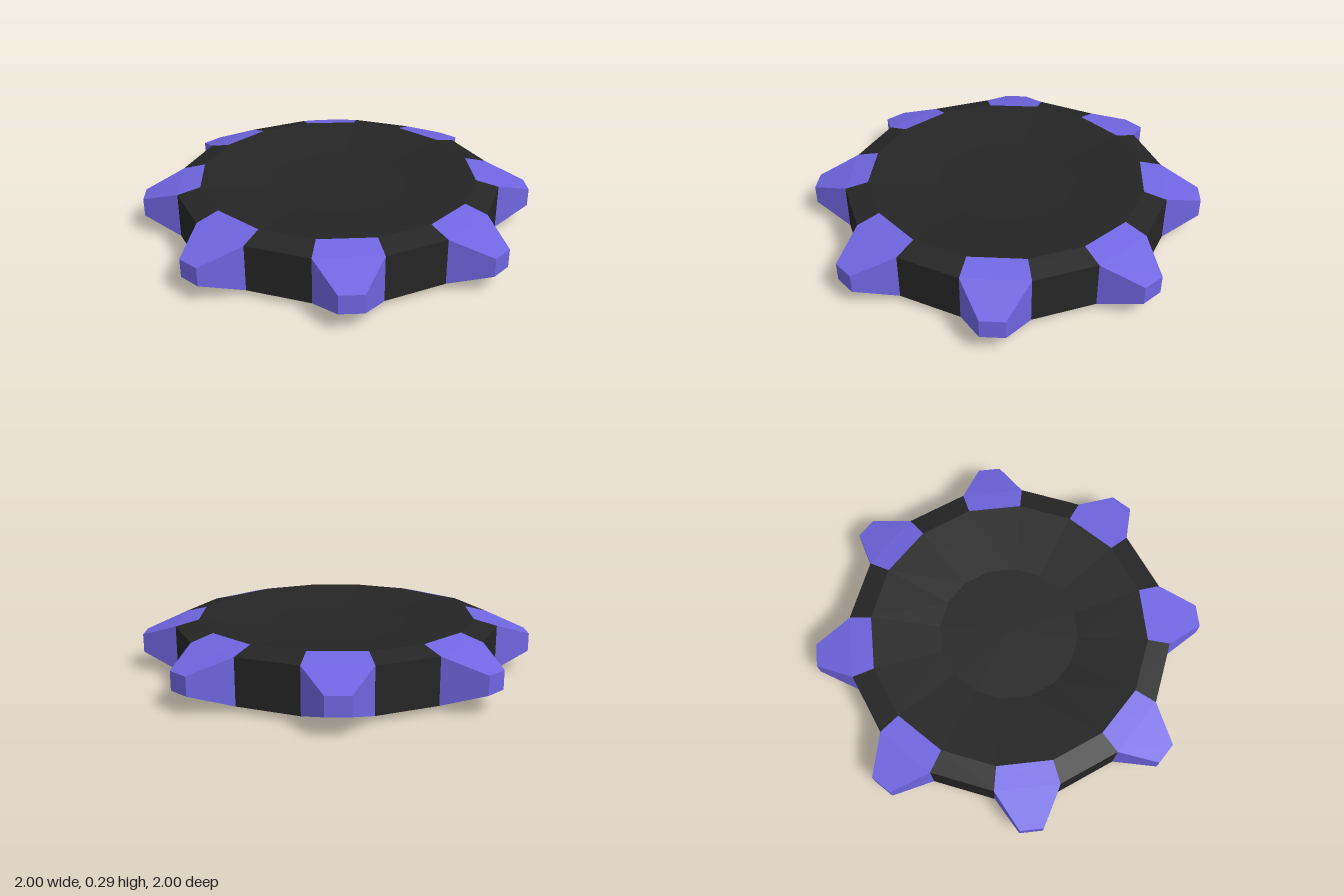
import * as THREE from 'three';

const DARK = new THREE.MeshStandardMaterial({ color: 0x252525, flatShading: true });
const PURPLE = new THREE.MeshStandardMaterial({ color: 0x7065e0, flatShading: true });

const STEP = Math.PI / 8; // the wheel has 16 sides: 8 teeth and 8 gaps
const H = 0.294;
const RING = 0.715, RIM = 0.832, TIP = 1.01;

// Profiles from top to bottom: [radius, height, angle inset]
const gapProfile = [[RING, H, 0], [RIM, H - 0.03, 0], [RIM, 0.03, 0], [RING, 0, 0]];
const toothProfile = [
  [RING, H, 0], [RIM, H - 0.03, 0], [TIP, 0.194, 0.138],
  [TIP, 0.1, 0.138], [RIM, 0.03, 0], [RING, 0, 0],
];

function point(angle, r, y) {
  return [r * Math.cos(angle), y, -r * Math.sin(angle)];
}

// Sweeps a profile across one side of the wheel
function segmentGeometry(profile, hasFlanks) {
  const a = profile.map(([r, y, inset]) => point(inset, r, y));
  const b = profile.map(([r, y, inset]) => point(STEP - inset, r, y));
  const positions = [];
  const quad = (p, q, r, s) => positions.push(...p, ...q, ...r, ...p, ...r, ...s);
  for (let i = 0; i < profile.length - 1; i++) quad(a[i], a[i + 1], b[i + 1], b[i]);
  if (hasFlanks) {
    quad(a[1], a[4], a[3], a[2]);
    quad(b[1], b[2], b[3], b[4]);
  }
  const geometry = new THREE.BufferGeometry();
  geometry.setAttribute('position', new THREE.Float32BufferAttribute(positions, 3));
  geometry.computeVertexNormals();
  return geometry;
}

function addMesh(parent, name, geometry, material) {
  const mesh = new THREE.Mesh(geometry, material);
  mesh.name = name;
  parent.add(mesh);
  return mesh;
}

export function createModel() {
  const model = new THREE.Group();
  model.name = 'gearWheel';

  // Dished faces with a flat centre
  const dish = 0.05;
  const face = (points) =>
    new THREE.LatheGeometry(points.map(([r, y]) => new THREE.Vector2(r, y)), 16);
  addMesh(model, 'topFace', face([[RING, H], [0.36, H - dish], [0, H - dish]]), DARK);
  addMesh(model, 'bottomFace', face([[0, dish], [0.36, dish], [RING, 0]]), DARK);

  // Alternating teeth and bevelled rim panels
  const tooth = segmentGeometry(toothProfile, true);
  const gap = segmentGeometry(gapProfile, false);
  for (let i = 0; i < 8; i++) {
    addMesh(model, `tooth${i + 1}`, tooth, PURPLE).rotation.y = 2 * i * STEP;
    addMesh(model, `rimPanel${i + 1}`, gap, DARK).rotation.y = (2 * i + 1) * STEP;
  }
  return model;
}
